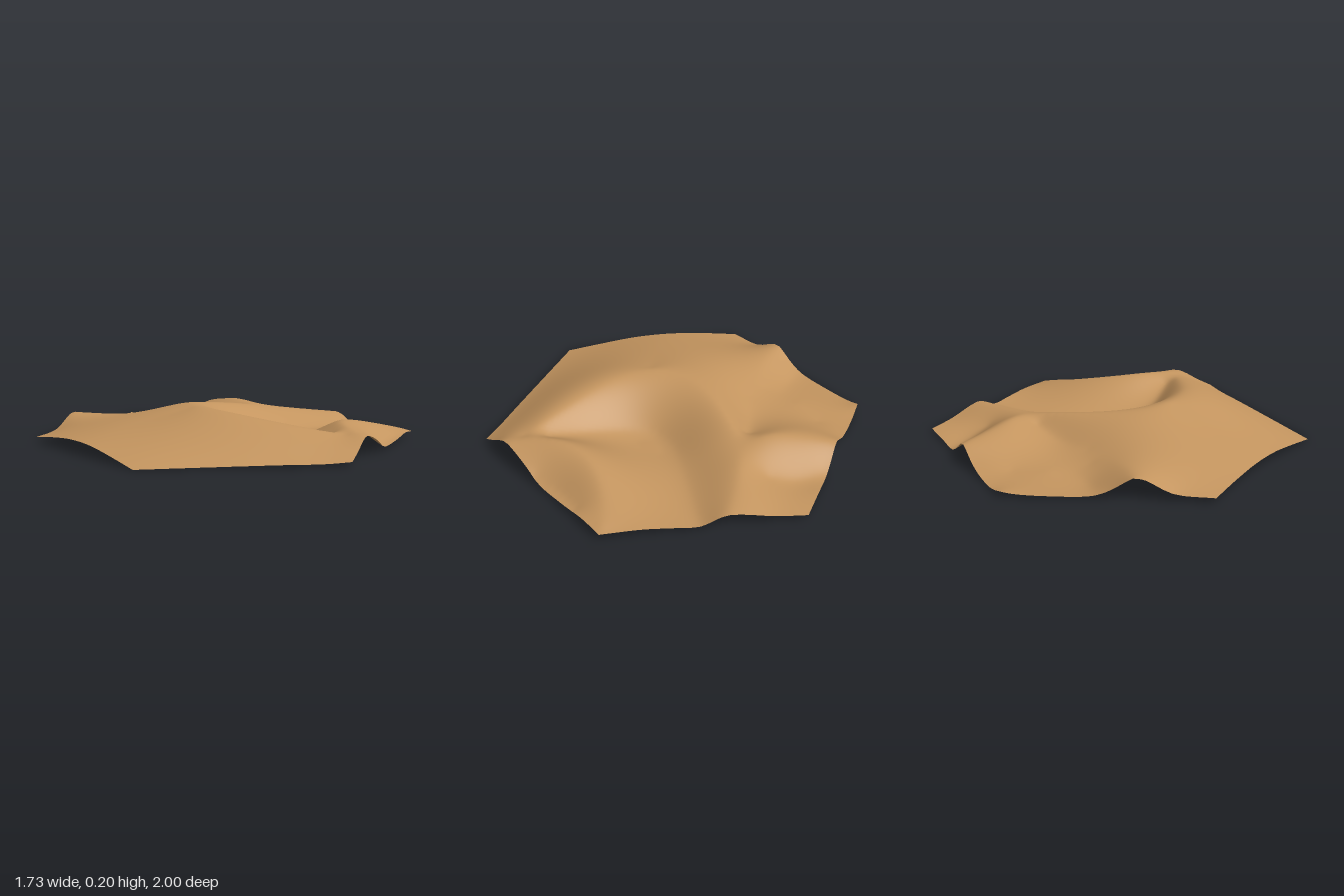
import * as THREE from 'three';
import { mergeVertices } from 'three/addons/utils/BufferGeometryUtils.js';

// Guide lines over the tile, each point as [x, height, z]
const edges = [
  // front right, right, back right
  [[0, .02, 1], [.06, .05, .965], [.17, .11, .902], [.25, .095, .856], [.35, .055, .798], [.42, .018, .757], [.6, .02, .654], [.75, .035, .567], [.866, .025, .5]],
  [[.866, .025, .5], [.866, .03, .3], [.866, .018, .13], [.866, .012, .02], [.866, .062, -.1], [.866, .055, -.2], [.866, .03, -.33], [.866, .015, -.5]],
  [[.866, .015, -.5], [.7, .012, -.596], [.57, .01, -.671], [.5, .05, -.711], [.43, .1, -.752], [.38, .08, -.781], [.3, .035, -.827], [.2, .01, -.885], [.08, .008, -.954], [0, .03, -1]],
  // back left, left, front left
  [[0, .03, -1], [-.05, .018, -.971], [-.2, .01, -.885], [-.39, .02, -.775], [-.47, .06, -.729], [-.55, .11, -.682], [-.7, .035, -.596], [-.866, .02, -.5]],
  [[-.866, .02, -.5], [-.866, .045, -.3], [-.866, .06, -.1], [-.866, .055, .1], [-.866, .03, .3], [-.866, 0, .5]],
  [[-.866, 0, .5], [-.6, .005, .654], [-.3, .01, .827], [-.1, .012, .942], [0, .02, 1]],
];
const dunes = [
  // main crescent: crest, foot of the slip face, windward back
  [[.13, .11, .8], [-.05, .15, .55], [-.18, .185, .35], [-.25, .205, .1], [-.2, .2, -.04], [-.05, .183, -.15], [.15, .158, -.23], [.4, .125, -.26], [.65, .09, -.2], [.866, .062, -.1]],
  [[.12, .085, .68], [.06, .04, .45], [.04, .02, .25], [.08, .015, .12], [.2, .013, .05], [.45, .012, .03], [.866, .012, .02]],
  [[-.866, .06, -.05], [-.55, .13, .02], [-.3, .192, .09]],
  // front right dune: crest and foot
  [[.17, .11, .9], [.19, .13, .75], [.27, .14, .6], [.42, .125, .5], [.65, .08, .46], [.866, .03, .49]],
  [[.42, .018, .75], [.5, .02, .67], [.62, .025, .61], [.75, .033, .56]],
  // back right dune: crest and foot
  [[.43, .1, -.75], [.39, .125, -.6], [.37, .145, -.42], [.4, .13, -.3]],
  [[.57, .012, -.67], [.6, .015, -.5], [.59, .045, -.37]],
  // small back left dune: crest and foot
  [[-.55, .11, -.68], [-.42, .1, -.58], [-.3, .085, -.52], [-.19, .055, -.53]],
  [[-.39, .02, -.77], [-.28, .02, -.68], [-.17, .03, -.62]],
  // hollow between the dunes, and the flat at the back
  [[-.1, .075, -.42], [.1, .07, -.38], [.28, .1, -.33]],
  [[-.05, .03, -.68], [.12, .022, -.75]],
];

// Sample the guides evenly, dropping points that nearly coincide
function samplePoints() {
  const points = [];
  for (const line of [...edges, ...dunes]) {
    const curve = new THREE.CatmullRomCurve3(line.map(p => new THREE.Vector3(...p)), false, 'centripetal');
    const steps = Math.ceil(curve.getLength() / 0.05);
    for (const p of curve.getSpacedPoints(steps)) {
      if (points.every(q => Math.hypot(p.x - q.x, p.z - q.z) > 0.025)) points.push(p);
    }
  }
  return points;
}

// Radial interpolation: a taut surface through all guides, creased along crests
function makeHeight() {
  const pts = samplePoints(), n = pts.length;
  const rows = pts.map(p => [...pts.map(q => Math.hypot(p.x - q.x, p.z - q.z)), p.y]);
  for (let c = 0; c < n; c++) {
    let pivot = c;
    for (let r = c + 1; r < n; r++) if (Math.abs(rows[r][c]) > Math.abs(rows[pivot][c])) pivot = r;
    [rows[c], rows[pivot]] = [rows[pivot], rows[c]];
    for (let r = c + 1; r < n; r++) {
      const f = rows[r][c] / rows[c][c];
      for (let k = c; k <= n; k++) rows[r][k] -= f * rows[c][k];
    }
  }
  const weights = new Array(n).fill(0);
  for (let r = n - 1; r >= 0; r--) {
    let sum = rows[r][n];
    for (let k = r + 1; k < n; k++) sum -= rows[r][k] * weights[k];
    weights[r] = sum / rows[r][r];
  }
  return (x, z) => {
    let h = 0;
    for (let i = 0; i < n; i++) h += weights[i] * Math.hypot(x - pts[i].x, z - pts[i].z);
    return Math.max(0, h);
  };
}

// Hexagonal sheet of six triangular sectors
function hexSheet(divisions) {
  const positions = [];
  for (let s = 0; s < 6; s++) {
    const a = Math.PI / 6 + s * Math.PI / 3, b = a + Math.PI / 3;
    const add = (i, j) => positions.push(
      (Math.cos(a) * i + Math.cos(b) * j) / divisions, 0,
      (Math.sin(a) * i + Math.sin(b) * j) / divisions);
    for (let i = 0; i < divisions; i++) {
      for (let j = 0; i + j < divisions; j++) {
        add(i, j); add(i, j + 1); add(i + 1, j);
        if (i + j < divisions - 1) { add(i + 1, j); add(i, j + 1); add(i + 1, j + 1); }
      }
    }
  }
  const geometry = new THREE.BufferGeometry();
  geometry.setAttribute('position', new THREE.Float32BufferAttribute(positions, 3));
  return mergeVertices(geometry, 1e-4);
}

export function createModel() {
  const group = new THREE.Group();
  group.name = 'desertTile';
  const sand = new THREE.MeshStandardMaterial({ color: 0xc4955f, side: THREE.DoubleSide });
  sand.name = 'sand';

  // Raise the sheet into dunes
  const geometry = hexSheet(50);
  const height = makeHeight();
  const pos = geometry.attributes.position;
  for (let i = 0; i < pos.count; i++) pos.setY(i, height(pos.getX(i), pos.getZ(i)));
  geometry.computeVertexNormals();

  const surface = new THREE.Mesh(geometry, sand);
  surface.name = 'sandDunes';
  group.add(surface);
  return group;
}
